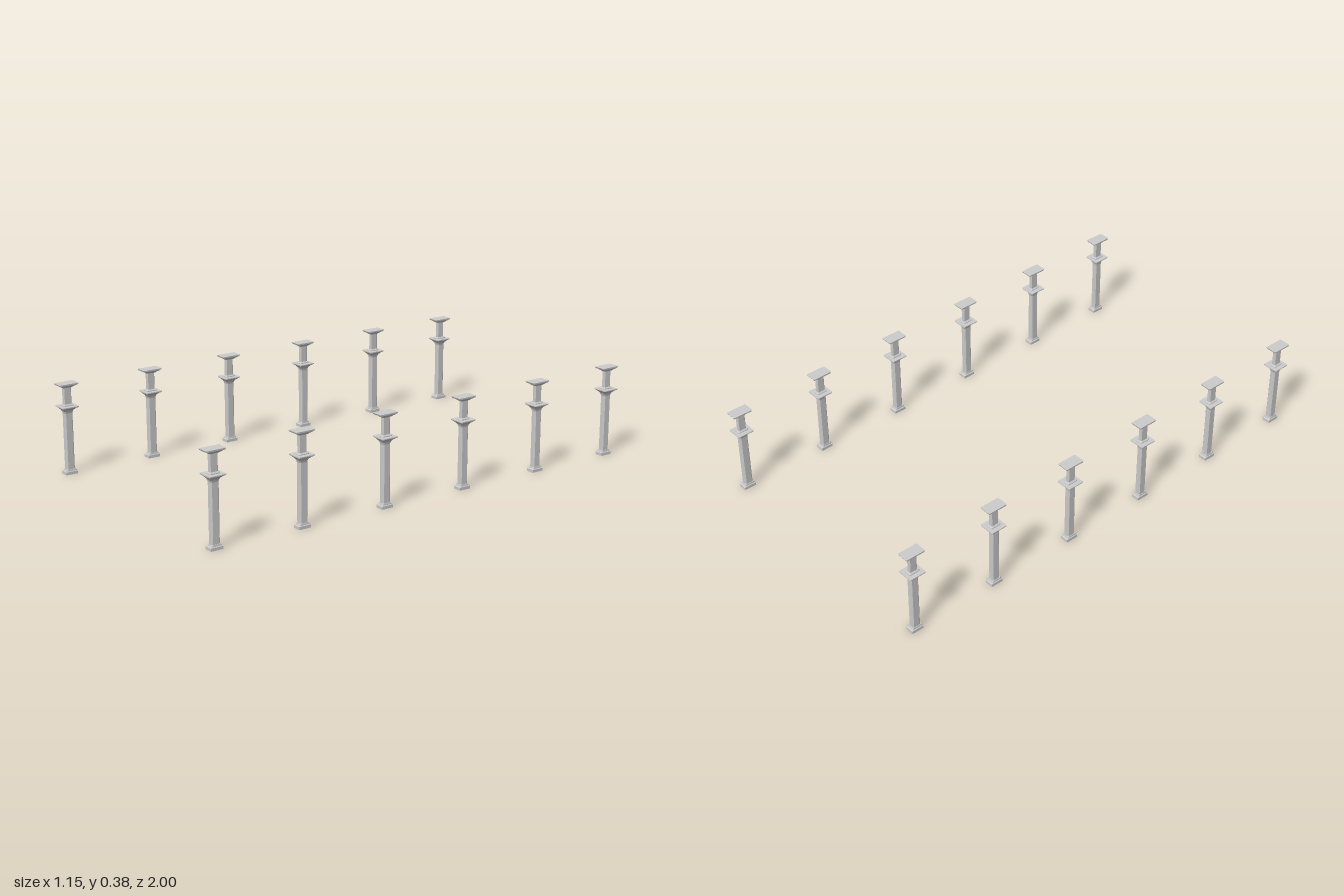
import * as THREE from 'three';

const material = new THREE.MeshStandardMaterial({ color: 0xcccccc, flatShading: true });

// Solid from stacked rectangles with cut corners; each row is [y, width, depth, cut]
function loft(rows) {
  const pos = [], idx = [];
  for (const [y, w, d, c] of rows) {
    const a = w / 2, b = d / 2;
    const ring = [[a, -b + c], [a - c, -b], [-a + c, -b], [-a, -b + c],
      [-a, b - c], [-a + c, b], [a - c, b], [a, b - c]];
    for (const [x, z] of ring) pos.push(x, y, z);
  }
  for (let r = 0; r < rows.length - 1; r++) {
    for (let i = 0; i < 8; i++) {
      const p = r * 8 + i, q = r * 8 + (i + 1) % 8;
      idx.push(p, q, q + 8, p, q + 8, p + 8);
    }
  }
  const t = (rows.length - 1) * 8;
  for (let i = 1; i < 7; i++) idx.push(0, i + 1, i, t, t + i, t + i + 1);
  const g = new THREE.BufferGeometry();
  g.setAttribute('position', new THREE.Float32BufferAttribute(pos, 3));
  g.setIndex(idx);
  const flat = g.toNonIndexed();
  flat.computeVertexNormals();
  return flat;
}

const parts = {
  // Plinth with a small moulding
  base: loft([[0, 0.036, 0.054, 0.001], [0.012, 0.036, 0.054, 0.001],
    [0.014, 0.031, 0.045, 0.003], [0.021, 0.029, 0.041, 0.004]]),
  lowerShaft: loft([[0.018, 0.025, 0.036, 0.005], [0.262, 0.025, 0.036, 0.005]]),
  // Flared capital halfway up
  middleCapital: loft([[0.254, 0.025, 0.036, 0.005], [0.262, 0.029, 0.04, 0.005],
    [0.268, 0.034, 0.046, 0.004], [0.275, 0.05, 0.058, 0.003],
    [0.28, 0.067, 0.072, 0.003], [0.284, 0.067, 0.072, 0.003]]),
  upperBase: loft([[0.283, 0.029, 0.045, 0.003], [0.287, 0.029, 0.045, 0.003],
    [0.291, 0.022, 0.038, 0.003]]),
  upperShaft: loft([[0.288, 0.017, 0.034, 0.003], [0.364, 0.017, 0.034, 0.003]]),
  // Top capital and its flat slab
  topCapital: loft([[0.36, 0.025, 0.04, 0.003], [0.364, 0.032, 0.05, 0.002],
    [0.368, 0.042, 0.064, 0.002], [0.371, 0.049, 0.08, 0.002],
    [0.377, 0.05, 0.086, 0.002]]),
};

function column() {
  const g = new THREE.Group();
  for (const [name, geometry] of Object.entries(parts)) {
    const m = new THREE.Mesh(geometry, material);
    m.name = name;
    g.add(m);
  }
  return g;
}

export function createModel() {
  const model = new THREE.Group();
  model.name = 'colonnade';
  // Two facing rows of six columns
  for (const side of [-1, 1]) {
    const row = new THREE.Group();
    row.name = side > 0 ? 'leftRow' : 'rightRow';
    for (let i = 0; i < 6; i++) {
      const c = column();
      c.name = 'column' + (i + 1);
      c.position.set(side * 0.541, 0, (i - 2.5) * 0.3828);
      row.add(c);
    }
    model.add(row);
  }
  return model;
}
